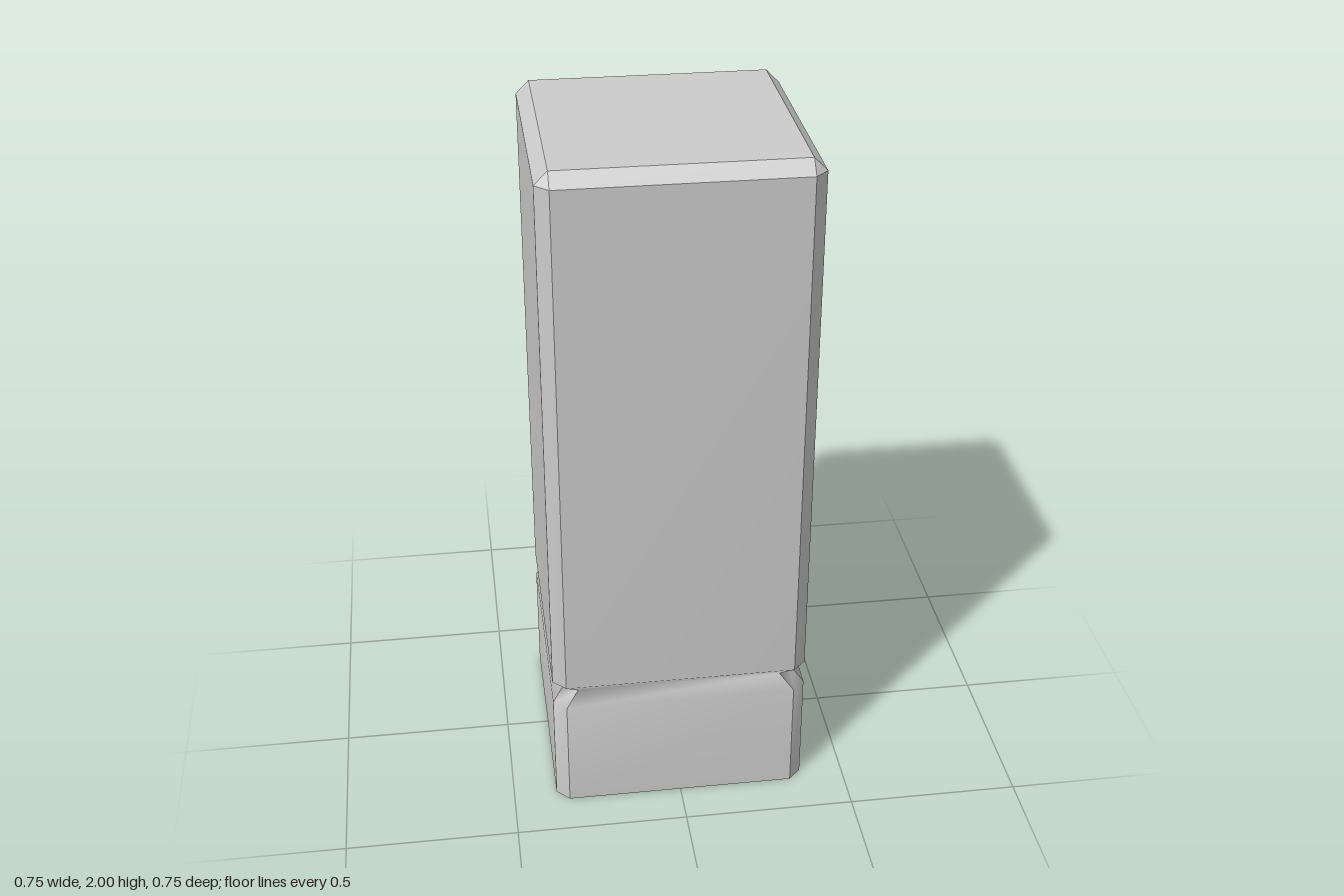
import * as THREE from 'three';
import { mergeGeometries } from 'three/addons/utils/BufferGeometryUtils.js';

const HALF = 0.373, CUT = 0.037;

// Eight corners of a chamfered square, counterclockwise seen from above
function ring(y, half, flat = half - CUT) {
  const points = [];
  for (let k = 0, x = half, z = flat; k < 4; k++, [x, z] = [z, -x]) {
    points.push(new THREE.Vector3(x, y, z));
    // the other end of the same side
    const [sx, sz] = [[half, -flat], [-flat, -half], [-half, flat], [flat, half]][k];
    points.push(new THREE.Vector3(sx, y, sz));
    [x, z] = [[half, flat], [flat, -half], [-half, -flat], [-flat, half]][k];
  }
  return points;
}

// One panel per side: hard vertical edges, smooth along the height
function panels(rings) {
  const strips = [];
  for (let i = 0; i < 8; i++) {
    const points = rings.flatMap((r) => [r[i], r[(i + 1) % 8]]);
    const index = [];
    for (let j = 0; j < rings.length - 1; j++) {
      const a = 2 * j;
      index.push(a, a + 1, a + 3, a, a + 3, a + 2);
    }
    const strip = new THREE.BufferGeometry().setFromPoints(points);
    strip.setIndex(index);
    strip.computeVertexNormals();
    strips.push(strip);
  }
  return mergeGeometries(strips);
}

// Flat lid over a ring
function cap(points, up) {
  const lid = new THREE.BufferGeometry().setFromPoints(points);
  const index = [];
  for (let i = 1; i < 7; i++) index.push(0, ...(up ? [i, i + 1] : [i + 1, i]));
  lid.setIndex(index);
  lid.computeVertexNormals();
  return lid;
}

export function createModel() {
  const group = new THREE.Group();
  group.name = 'post';
  const material = new THREE.MeshStandardMaterial({ color: 0xcccccc });
  const add = (name, geometry) => {
    const mesh = new THREE.Mesh(geometry, material);
    mesh.name = name;
    group.add(mesh);
  };

  const foot = ring(0, HALF);
  const shoulder = ring(2 - CUT, HALF);
  const top = ring(2, HALF - CUT, HALF - CUT);

  // Shaft with a V groove running round it
  add('shaft', panels([
    foot,
    ring(0.342, HALF),
    ring(0.379, HALF - CUT),
    ring(0.416, HALF),
    shoulder,
  ]));
  add('topBevel', panels([shoulder, top]));
  add('topFace', cap(top, true));
  add('bottomFace', cap(foot, false));
  return group;
}
